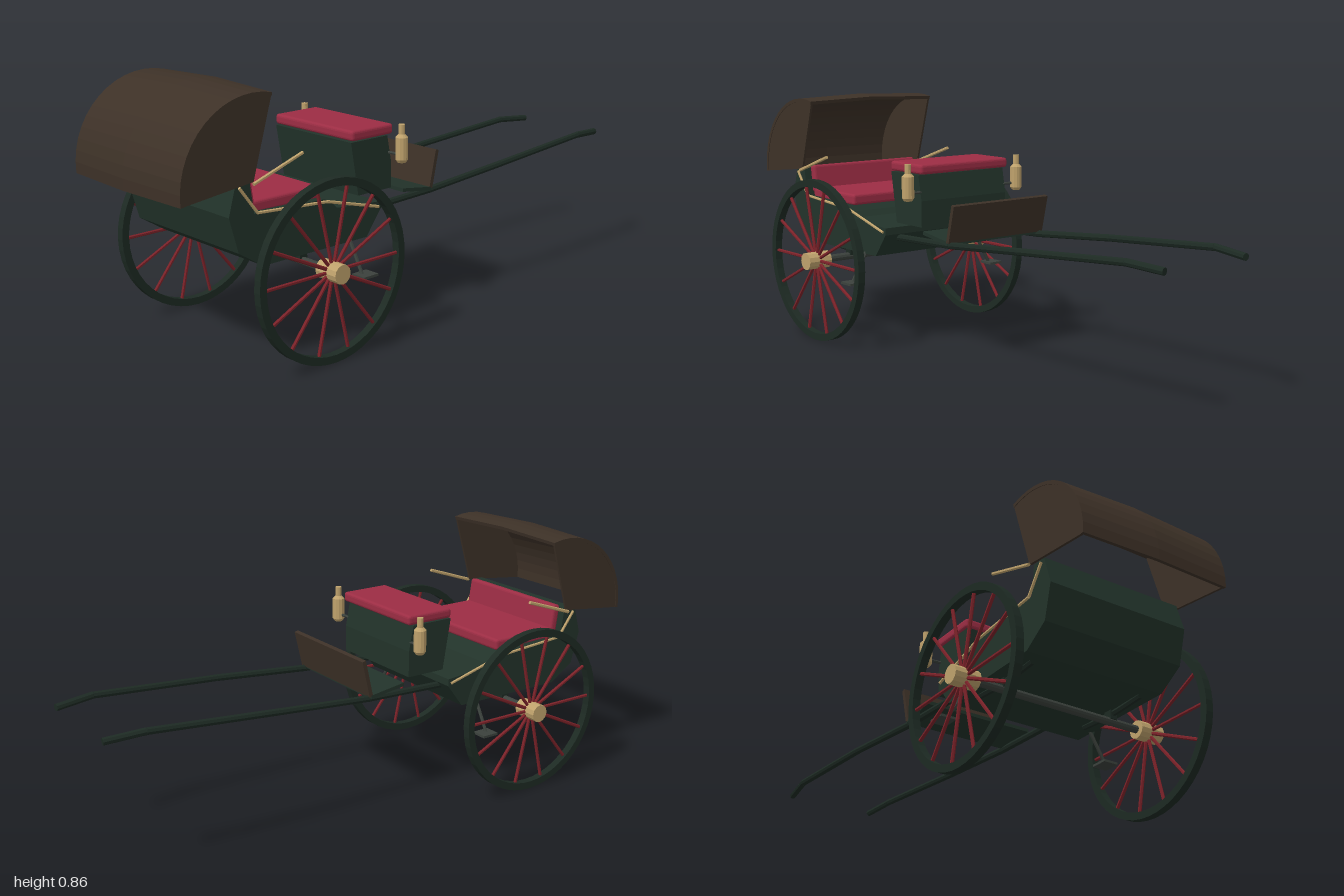
import * as THREE from 'three';
import { RoundedBoxGeometry } from 'three/addons/geometries/RoundedBoxGeometry.js';

const paint = (name, color) => {
  const m = new THREE.MeshStandardMaterial({ color, flatShading: true });
  m.name = name;
  return m;
};

export function createModel() {
  const green = paint('coach green', 0x22332a);
  const dark = paint('dark green', 0x1d2a23);
  const iron = paint('iron grey', 0x3b413c);
  const leather = paint('brown leather', 0x3d3127);
  const red = paint('crimson upholstery', 0x9c2d44);
  const spokeRed = paint('spoke red', 0x7c2229);
  const brass = paint('brass', 0xbfa26c);

  const model = new THREE.Group();
  model.name = 'carriage';
  const add = (name, geo, mat, x = 0, y = 0, z = 0, parent = model) => {
    const mesh = new THREE.Mesh(geo, mat);
    mesh.name = name;
    mesh.position.set(x, y, z);
    parent.add(mesh);
    return mesh;
  };
  // Extrudes a side outline given as [z, y] pairs across the width
  const profile = (pts, width, steps = 1) => {
    const shape = new THREE.Shape(pts.map(([z, y]) => new THREE.Vector2(z, y)));
    return new THREE.ExtrudeGeometry(shape, { depth: width, steps, bevelEnabled: false })
      .rotateY(-Math.PI / 2).translate(width / 2, 0, 0);
  };
  // Straight rod between two points
  const rod = (name, a, b, r, mat, sides = 8, parent = model) => {
    const p = new THREE.Vector3(...a), q = new THREE.Vector3(...b);
    const d = q.clone().sub(p);
    const mesh = add(name, new THREE.CylinderGeometry(r, r, d.length(), sides), mat, 0, 0, 0, parent);
    mesh.position.copy(p).add(q).multiplyScalar(0.5);
    mesh.quaternion.setFromUnitVectors(new THREE.Vector3(0, 1, 0), d.normalize());
    return mesh;
  };

  // Passenger body with raised back
  add('body', profile([
    [0.275, 0.325], [0.69, 0.325], [0.78, 0.382], [0.812, 0.495], [0.785, 0.59], [0.735, 0.59],
    [0.72, 0.49], [0.45, 0.482], [0.42, 0.465], [0.40, 0.445], [0.215, 0.43], [0.215, 0.405],
  ], 0.51), green);
  add('seatCushion', new RoundedBoxGeometry(0.46, 0.04, 0.27, 2, 0.01), red, 0, 0.5, 0.58);
  const pad = add('seatBackCushion', new RoundedBoxGeometry(0.46, 0.1, 0.03, 2, 0.01), red, 0, 0.552, 0.717);
  pad.rotation.x = 0.15;

  // Driver's box, cushion, footboard and dashboard
  add('driverBox', profile([
    [0.275, 0.617], [0.245, 0.44], [0.1, 0.44], [0.1, 0.53], [0.117, 0.617],
  ], 0.37), green);
  add('driverCushion', new RoundedBoxGeometry(0.38, 0.034, 0.18, 2, 0.01), red, 0, 0.637, 0.184);
  add('footboard', profile([[0.065, 0.422], [0.065, 0.434], [-0.068, 0.415], [-0.068, 0.403]], 0.41), green);
  add('dashboard', profile([[-0.06, 0.41], [-0.074, 0.41], [-0.103, 0.536], [-0.09, 0.54]], 0.41), leather);

  // Folding hood: crowned arched shell and two fan-shaped sides
  const pivot = [0.73, 0.59], R = 0.265, N = 14;
  const arc = (r) => Array.from({ length: N + 1 }, (_, i) => {
    const a = -0.09 + (i / N) * 1.91;
    return [0.722 + r * Math.cos(a), 0.585 + r * Math.sin(a)];
  });
  const shell = profile([...arc(R), ...arc(R - 0.012).reverse()], 0.54, 2);
  const pos = shell.attributes.position;
  for (let i = 0; i < pos.count; i++) {
    if (Math.abs(pos.getX(i)) > 0.01) continue;
    pos.setY(i, 0.585 + (pos.getY(i) - 0.585) * 1.035);
    pos.setZ(i, 0.722 + (pos.getZ(i) - 0.722) * 1.035);
  }
  shell.computeVertexNormals();
  add('hoodShell', shell, leather);
  for (const s of [-1, 1]) {
    add('hoodSide', profile([pivot, ...arc(R - 0.006)], 0.008), leather, s * 0.264);
  }

  // Axle
  rod('axle', [-0.32, 0.289, 0.505], [0.32, 0.289, 0.505], 0.013, iron, 10);

  for (const s of [-1, 1]) {
    // Wheel: square-section rim, fourteen spokes, hub
    const wheel = new THREE.Group();
    wheel.name = s > 0 ? 'leftWheel' : 'rightWheel';
    wheel.position.set(s * 0.353, 0.289, 0.505);
    model.add(wheel);
    const section = [[0.264, -0.0135], [0.289, -0.0135], [0.289, 0.0135], [0.264, 0.0135], [0.264, -0.0135]];
    add('rim', new THREE.LatheGeometry(section.map(([r, h]) => new THREE.Vector2(r, h)), 48)
      .rotateZ(Math.PI / 2), dark, 0, 0, 0, wheel);
    add('hub', new THREE.CylinderGeometry(0.031, 0.031, 0.09, 12).rotateZ(Math.PI / 2), brass, 0, 0, 0, wheel);
    for (let i = 0; i < 14; i++) {
      const a = (i / 14) * Math.PI * 2, c = Math.cos(a), n = Math.sin(a);
      rod('spoke', [0, n * 0.025, c * 0.025], [0, n * 0.27, c * 0.27], 0.006, spokeRed, 6, wheel);
    }

    // Shaft, bending inward and down at the tip
    const shaft = [
      [0.188, 0.388, 0.3], [0.192, 0.402, -0.07], [0.199, 0.432, -0.42],
      [0.190, 0.465, -0.87], [0.172, 0.456, -1],
    ].map(([x, y, z]) => [s * x, y, z]);
    for (let i = 1; i < shaft.length; i++) {
      rod('shaft', shaft[i - 1], shaft[i], 0.012, dark);
      if (i < 4) add('shaftJoint', new THREE.SphereGeometry(0.012, 8, 6), dark, ...shaft[i]);
    }

    // Leaf spring between floor and axle
    const leaf = new THREE.CatmullRomCurve3([
      new THREE.Vector3(s * 0.205, 0.322, 0.65), new THREE.Vector3(s * 0.205, 0.314, 0.51),
      new THREE.Vector3(s * 0.205, 0.322, 0.37),
    ]);
    add('spring', new THREE.TubeGeometry(leaf, 8, 0.01, 6), dark);
    add('springClamp', new THREE.BoxGeometry(0.026, 0.03, 0.03), dark, s * 0.205, 0.308, 0.505);

    // Boarding step
    rod('stepStrut', [s * 0.25, 0.33, 0.343], [s * 0.308, 0.228, 0.343], 0.006, iron, 6);
    add('stepPlate', new THREE.BoxGeometry(0.055, 0.008, 0.06), iron, s * 0.314, 0.228, 0.336);

    // Brass side rail and hood prop
    const rail = [[0.775, 0.578], [0.71, 0.492], [0.44, 0.473], [0.225, 0.415]];
    for (let i = 1; i < rail.length; i++) {
      const [z0, y0] = rail[i - 1], [z1, y1] = rail[i];
      rod('sideRail', [s * 0.258, y0, z0], [s * 0.258, y1, z1], 0.005, brass, 6);
    }
    rod('hoodProp', [s * 0.274, 0.585, 0.735], [s * 0.274, 0.648, 0.55], 0.006, brass, 6);

    // Carriage lamp
    const lamp = [[0, 0.535], [0.014, 0.535], [0.021, 0.545], [0.021, 0.618], [0.011, 0.628], [0.011, 0.66], [0, 0.66]];
    add('lamp', new THREE.LatheGeometry(lamp.map(([r, y]) => new THREE.Vector2(r, y)), 12), brass, s * 0.238, 0, 0.104);
    rod('lampBracket', [s * 0.18, 0.56, 0.11], [s * 0.235, 0.56, 0.106], 0.005, iron, 6);
  }
  return model;
}
